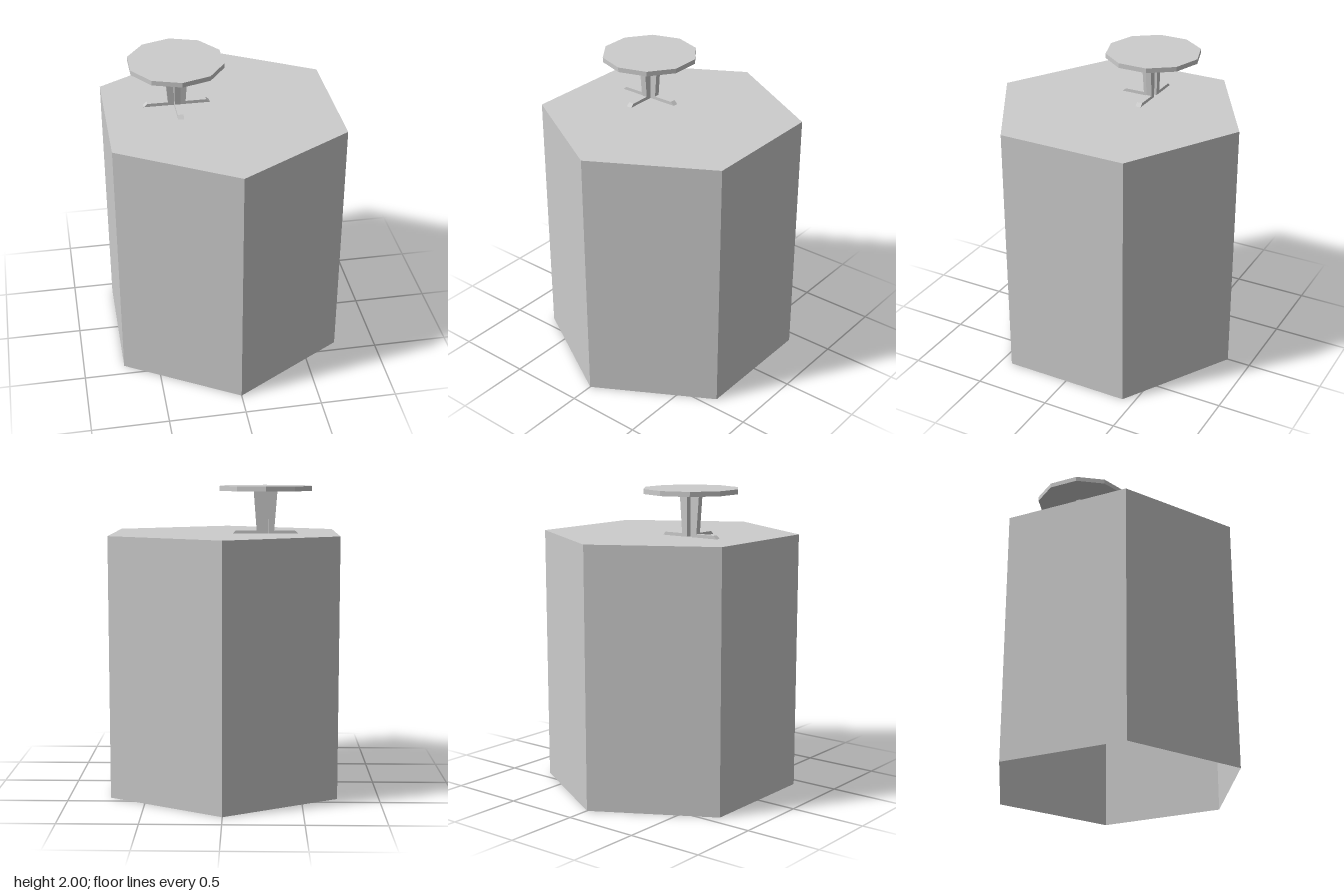
import * as THREE from 'three';

export function createModel() {
  const model = new THREE.Group();
  model.name = 'tableOnHexagonalColumn';

  const grey = new THREE.MeshStandardMaterial({ color: 0xcccccc, flatShading: true, side: THREE.DoubleSide });
  grey.name = 'lightGrey';

  const add = (parent, name, geometry) => {
    const mesh = new THREE.Mesh(geometry, grey);
    mesh.name = name;
    parent.add(mesh);
    return mesh;
  };

  // Hollow hexagonal column, open underneath, with a flat top
  const columnHeight = 1.691, columnRadius = 0.844;
  const column = new THREE.Group();
  column.name = 'column';
  model.add(column);
  add(column, 'columnWalls', new THREE.CylinderGeometry(columnRadius, columnRadius, columnHeight, 6, 1, true))
    .position.y = columnHeight / 2;
  const columnTop = add(column, 'columnTop', new THREE.CircleGeometry(columnRadius, 6, Math.PI / 2));
  columnTop.rotation.x = -Math.PI / 2;
  columnTop.position.y = columnHeight;

  // Small round table standing off centre on the column
  const table = new THREE.Group();
  table.name = 'table';
  table.position.set(-0.264, columnHeight, -0.118);
  model.add(table);

  const tableHeight = 2 - columnHeight, topThickness = 0.031;
  add(table, 'tableTop', new THREE.CylinderGeometry(0.311, 0.311, topThickness, 10))
    .position.y = tableHeight - topThickness / 2;

  // Three tapered legs with chamfered feet, around a small open core
  const half = 0.0185, legHeight = tableHeight - topThickness;
  const profile = new THREE.Shape([
    [half, 0], [0.214, 0], [0.19, 0.021], [0.057, 0.021], [0.077, legHeight], [half, legHeight],
  ].map(([r, y]) => new THREE.Vector2(r, y)));
  const legGeometry = new THREE.ExtrudeGeometry(profile, { depth: half * 2, bevelEnabled: false });
  legGeometry.translate(0, 0, -half);
  const turns = { leftLeg: 0, rightLeg: Math.PI, frontLeg: -Math.PI / 2 };
  for (const [name, turn] of Object.entries(turns)) add(table, name, legGeometry).rotation.y = turn;

  return model;
}
